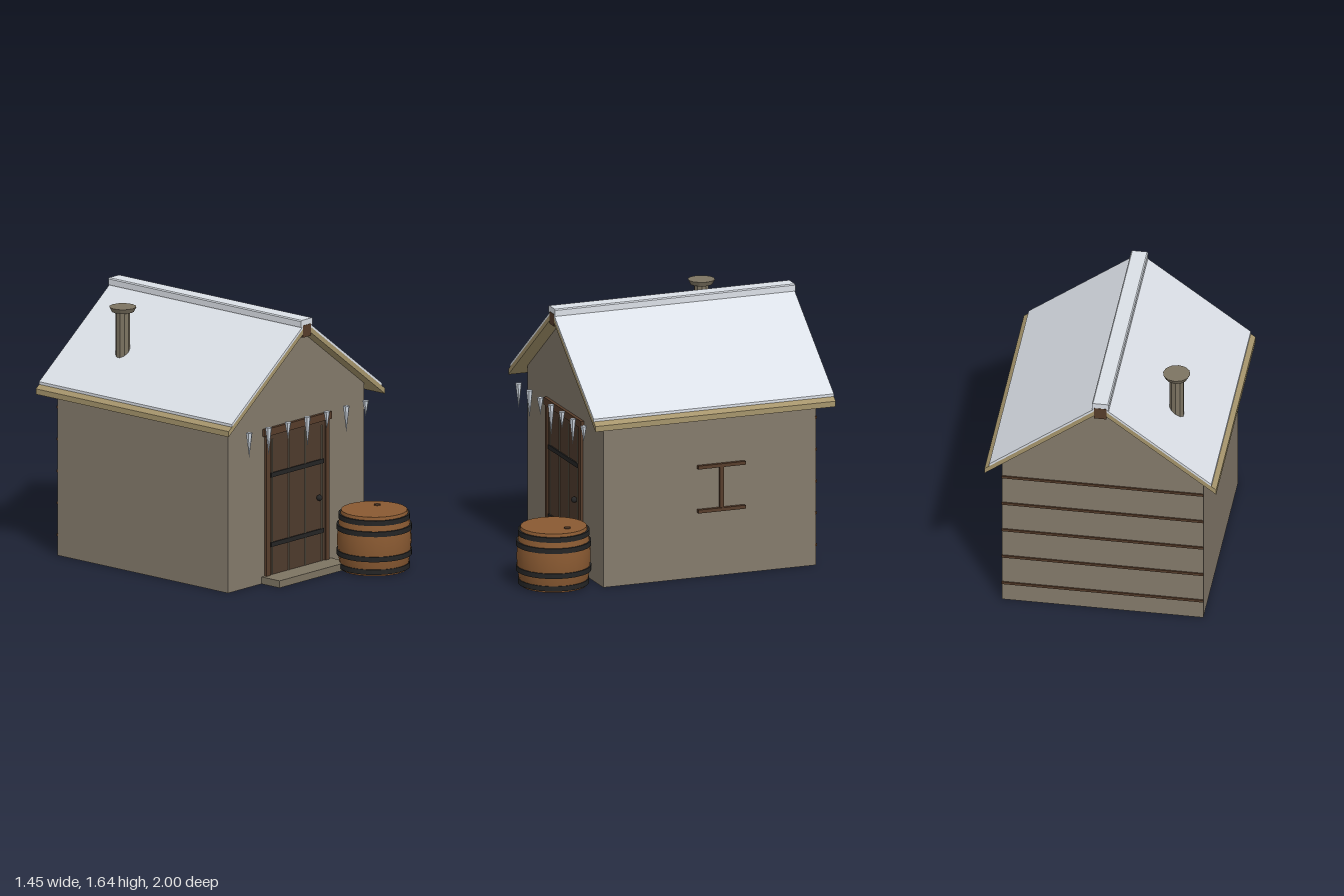
import * as THREE from 'three';

const mat = (name, color, extra = {}) => {
  const m = new THREE.MeshStandardMaterial({ color, ...extra });
  m.name = name;
  return m;
};

export function createModel() {
  const root = new THREE.Group();
  root.name = 'cabin';
  const M = {
    wall: mat('wall', 0x857b6c),
    snow: mat('snow', 0xdce1e8),
    plank: mat('roofPlank', 0xa6956c),
    door: mat('doorWood', 0x4f3b2d),
    trim: mat('trimWood', 0x573d2b),
    iron: mat('iron', 0x252525),
    barrel: mat('barrelWood', 0x8a5a32),
    stone: mat('stone', 0x7d7462),
    ice: mat('ice', 0xd0d8e2),
  };
  const flat = (g) => {
    const f = g.index ? g.toNonIndexed() : g;
    f.computeVertexNormals();
    return f;
  };
  const add = (name, geo, material, x = 0, y = 0, z = 0, parent = root) => {
    const m = new THREE.Mesh(geo, material);
    m.name = name;
    m.position.set(x, y, z);
    parent.add(m);
    return m;
  };
  // Box given by its minimum and maximum corners
  const box = (name, material, x0, x1, y0, y1, z0, z1, parent) =>
    add(name, new THREE.BoxGeometry(x1 - x0, y1 - y0, z1 - z0), material,
      (x0 + x1) / 2, (y0 + y1) / 2, (z0 + z1) / 2, parent);
  // Outline in x and y, drawn out from z0 to z1
  const prism = (name, material, pts, z0, z1) => {
    const shape = new THREE.Shape(pts.map(([x, y]) => new THREE.Vector2(x, y)));
    const g = new THREE.ExtrudeGeometry(shape, { depth: z1 - z0, bevelEnabled: false });
    return add(name, g, material, 0, 0, z0);
  };

  // Walls with gables
  const slope = 0.759;
  prism('walls', M.wall, [[-0.63, 0], [0.63, 0], [0.63, 1.105], [0, 1.583], [-0.63, 1.105]], -0.905, 0.51);

  // Roof planks, snow layer, ridge
  const roofLayer = (name, material, halfWidth, y0, y1) => {
    const d = slope * halfWidth;
    prism(name, material, [[-halfWidth, y0 - d], [0, y0], [halfWidth, y0 - d],
      [halfWidth, y1 - d], [0, y1], [-halfWidth, y1 - d]], -1, 0.6);
  };
  roofLayer('roofPlanks', M.plank, 0.725, 1.58, 1.615);
  roofLayer('roofSnow', M.snow, 0.695, 1.615, 1.632);
  prism('ridgeSnow', M.snow, [[-0.053, 1.6], [0.053, 1.6], [0.053, 1.638], [0.046, 1.645],
    [-0.046, 1.645], [-0.053, 1.638]], -1, 0.6);
  box('ridgeBeam', M.trim, -0.038, 0.038, 1.533, 1.61, -1.002, 0.602);

  // Chimney
  const chimney = new THREE.Group();
  chimney.name = 'chimney';
  chimney.position.set(-0.41, 0, -0.56);
  root.add(chimney);
  add('chimneyPipe', flat(new THREE.CylinderGeometry(0.046, 0.046, 0.38, 10)), M.stone, 0, 1.39, 0, chimney);
  add('chimneyCap', flat(new THREE.CylinderGeometry(0.085, 0.07, 0.03, 12)), M.stone, 0, 1.59, 0, chimney);

  // Door with frame, seams, straps and knob
  const door = new THREE.Group();
  door.name = 'door';
  root.add(door);
  box('doorPanel', M.door, -0.26, 0.26, 0.045, 0.94, 0.505, 0.518, door);
  for (const s of [-1, 1]) {
    box('doorPost', M.trim, s * 0.275 - 0.017, s * 0.275 + 0.017, 0.045, 0.94, 0.505, 0.528, door);
  }
  box('doorLintel', M.trim, -0.31, 0.31, 0.938, 0.985, 0.505, 0.531, door);
  for (const x of [-0.23, -0.077, 0.075, 0.227]) {
    add('doorSeam', new THREE.CylinderGeometry(0.005, 0.005, 0.865, 8), M.stone, x, 0.478, 0.518, door);
  }
  for (const y of [0.238, 0.682]) {
    box('doorStrap', M.iron, -0.245, 0.242, y - 0.014, y + 0.014, 0.515, 0.527, door);
  }
  add('doorKnob', new THREE.SphereGeometry(0.019, 14, 10), M.iron, 0.195, 0.455, 0.53, door);
  box('doorStep', M.stone, -0.32, 0.32, 0, 0.045, 0.505, 0.66);

  // Wooden rack on the side wall
  box('rackPost', M.trim, 0.625, 0.65, 0.43, 0.705, -0.285, -0.26);
  for (const y of [0.427, 0.709]) {
    box('rackBar', M.trim, 0.625, 0.654, y - 0.011, y + 0.011, -0.43, -0.115);
  }

  // Battens across the back wall
  for (let i = 0; i < 5; i++) {
    const y = 0.13 + i * 0.204;
    box('backBatten', M.trim, -0.631, 0.631, y - 0.008, y + 0.008, -0.914, -0.9);
  }

  // Icicles under the front eave
  [0.16, 0.18, 0.11, 0.195, 0.11, 0.165, 0.1].forEach((len, i) => {
    const g = flat(new THREE.ConeGeometry(0.021, len, 6).rotateX(Math.PI));
    add('icicle', g, M.ice, (i - 3) * 0.18, 1.022 - len / 2, 0.605);
  });

  // Barrel with hoops and bung
  const barrel = new THREE.Group();
  barrel.name = 'barrel';
  barrel.position.set(0.44, 0, 0.765);
  root.add(barrel);
  const height = 0.376;
  const radiusAt = (y) => 0.23 - 0.025 * ((y - height / 2) / (height / 2)) ** 2;
  const side = [];
  for (let i = 0; i <= 12; i++) {
    const y = (i / 12) * height;
    side.push(new THREE.Vector2(radiusAt(y), y));
  }
  add('barrelStaves', new THREE.LatheGeometry(side, 24), M.barrel, 0, 0, 0, barrel);
  add('barrelLid', new THREE.CircleGeometry(0.205, 24).rotateX(-Math.PI / 2), M.barrel, 0, height, 0, barrel);
  add('barrelBase', new THREE.CircleGeometry(0.205, 24).rotateX(Math.PI / 2), M.barrel, 0, 0, 0, barrel);
  for (const y of [0.028, 0.112, 0.272, 0.34]) {
    const r = radiusAt(y) + 0.009;
    const h = 0.016;
    const hoop = [[r - 0.02, -h], [r, -h], [r, -h], [r, h], [r, h], [r - 0.02, h]]
      .map(([a, b]) => new THREE.Vector2(a, b));
    add('barrelHoop', new THREE.LatheGeometry(hoop, 24), M.iron, 0, y, 0, barrel);
  }
  add('barrelBung', new THREE.CylinderGeometry(0.021, 0.021, 0.012, 12), M.trim, 0.09, height, -0.055, barrel);

  return root;
}
